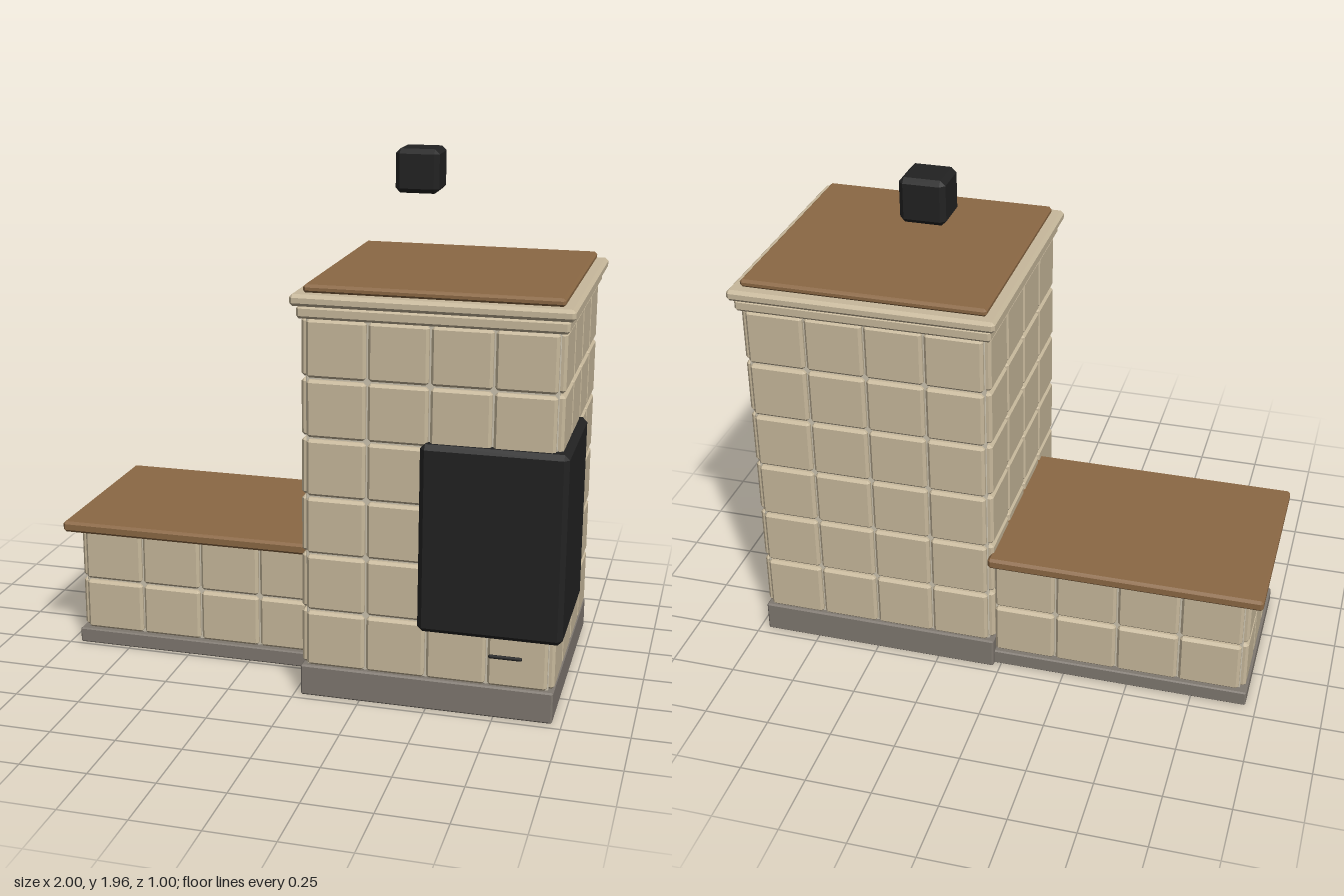
import * as THREE from 'three';
import { ConvexGeometry } from 'three/addons/geometries/ConvexGeometry.js';

// Box with flat chamfered edges
function chamferBox(w, h, d, c) {
  const points = [];
  for (const x of [-1, 1]) for (const y of [-1, 1]) for (const z of [-1, 1]) {
    const X = w / 2, Y = h / 2, Z = d / 2;
    points.push(
      new THREE.Vector3(x * X, y * (Y - c), z * (Z - c)),
      new THREE.Vector3(x * (X - c), y * Y, z * (Z - c)),
      new THREE.Vector3(x * (X - c), y * (Y - c), z * Z));
  }
  return new ConvexGeometry(points);
}

export function createModel() {
  const material = (name, color) => {
    const m = new THREE.MeshStandardMaterial({ color });
    m.name = name;
    return m;
  };
  const ceramic = material('ceramic tile', 0xc8b99c);
  const grout = material('grout', 0xcdc4b0);
  const wood = material('brown slab', 0x8b6844);
  const stone = material('grey plinth', 0x7f7870);
  const black = material('black metal', 0x222222);

  const model = new THREE.Group();
  model.name = 'tiledStove';

  // Chamfered block given by its limits on each axis
  function block(name, mat, [x0, x1], [y0, y1], [z0, z1], c, parent = model) {
    const mesh = new THREE.Mesh(chamferBox(x1 - x0, y1 - y0, z1 - z0, c), mat);
    mesh.position.set((x0 + x1) / 2, (y0 + y1) / 2, (z0 + z1) / 2);
    mesh.name = name;
    parent.add(mesh);
    return mesh;
  }

  // One wall of raised tiles facing +z in its own group
  function tileWall(name, width, y0, y1, cols, rows, position, angle) {
    const wall = new THREE.Group();
    wall.name = name;
    const pw = width / cols, ph = (y1 - y0) / rows;
    const geometry = chamferBox(pw - 0.008, ph - 0.008, 0.04, 0.01);
    for (let i = 0; i < cols; i++) for (let j = 0; j < rows; j++) {
      const tile = new THREE.Mesh(geometry, ceramic);
      tile.name = 'tile';
      tile.position.set(-width / 2 + (i + 0.5) * pw, y0 + (j + 0.5) * ph, 0);
      wall.add(tile);
    }
    wall.position.copy(position);
    wall.rotation.y = angle;
    model.add(wall);
  }

  // Grout core with tiles on the chosen sides
  function tiledBody(name, [x0, x1], [y0, y1], [z0, z1], colsX, colsZ, rows, sides) {
    block(name + 'Core', grout, [x0, x1], [y0, y1], [z0, z1], 0.002);
    const cx = (x0 + x1) / 2, cz = (z0 + z1) / 2, w = x1 - x0, d = z1 - z0;
    const walls = {
      Front: [w, colsX, new THREE.Vector3(cx, 0, z1), 0],
      Back: [w, colsX, new THREE.Vector3(cx, 0, z0), Math.PI],
      Left: [d, colsZ, new THREE.Vector3(x1, 0, cz), Math.PI / 2],
      Right: [d, colsZ, new THREE.Vector3(x0, 0, cz), -Math.PI / 2],
    };
    for (const side of sides) {
      const [width, cols, position, angle] = walls[side];
      tileWall(name + side + 'Tiles', width, y0, y1, cols, rows, position, angle);
    }
  }

  // Tower
  block('towerPlinth', stone, [0.025, 0.965], [0, 0.12], [-0.47, 0.47], 0.006);
  tiledBody('tower', [0.045, 0.945], [0.12, 1.44], [-0.45, 0.45], 4, 4, 6,
    ['Front', 'Back', 'Left', 'Right']);
  block('lowerCornice', ceramic, [0.015, 0.975], [1.438, 1.485], [-0.48, 0.48], 0.01);
  block('upperCornice', ceramic, [-0.005, 0.995], [1.485, 1.528], [-0.5, 0.5], 0.012);
  block('towerTopSlab', wood, [0.035, 0.955], [1.526, 1.557], [-0.46, 0.46], 0.01);

  // Bench
  block('benchPlinth', stone, [-0.96, 0.04], [0, 0.06], [-0.447, 0.237], 0.005);
  tiledBody('bench', [-0.932, 0.028], [0.06, 0.477], [-0.42, 0.21], 4, 3, 2,
    ['Front', 'Back', 'Right']);
  block('benchTopSlab', wood, [-1, 0.04], [0.477, 0.52], [-0.485, 0.278], 0.01);

  // Corner firebox, its ash drawer handle and the flue piece above
  block('cornerFirebox', black, [0.468, 0.993], [0.313, 1.018], [-0.026, 0.498], 0.018);
  const handle = new THREE.Mesh(new THREE.CapsuleGeometry(0.007, 0.108, 4, 10), black);
  handle.name = 'ashDrawerHandle';
  handle.rotation.z = Math.PI / 2;
  handle.position.set(0.793, 0.25, 0.495);
  model.add(handle);
  block('flueBlock', black, [0.214, 0.382], [1.793, 1.96], [-0.342, -0.178], 0.018);

  return model;
}
